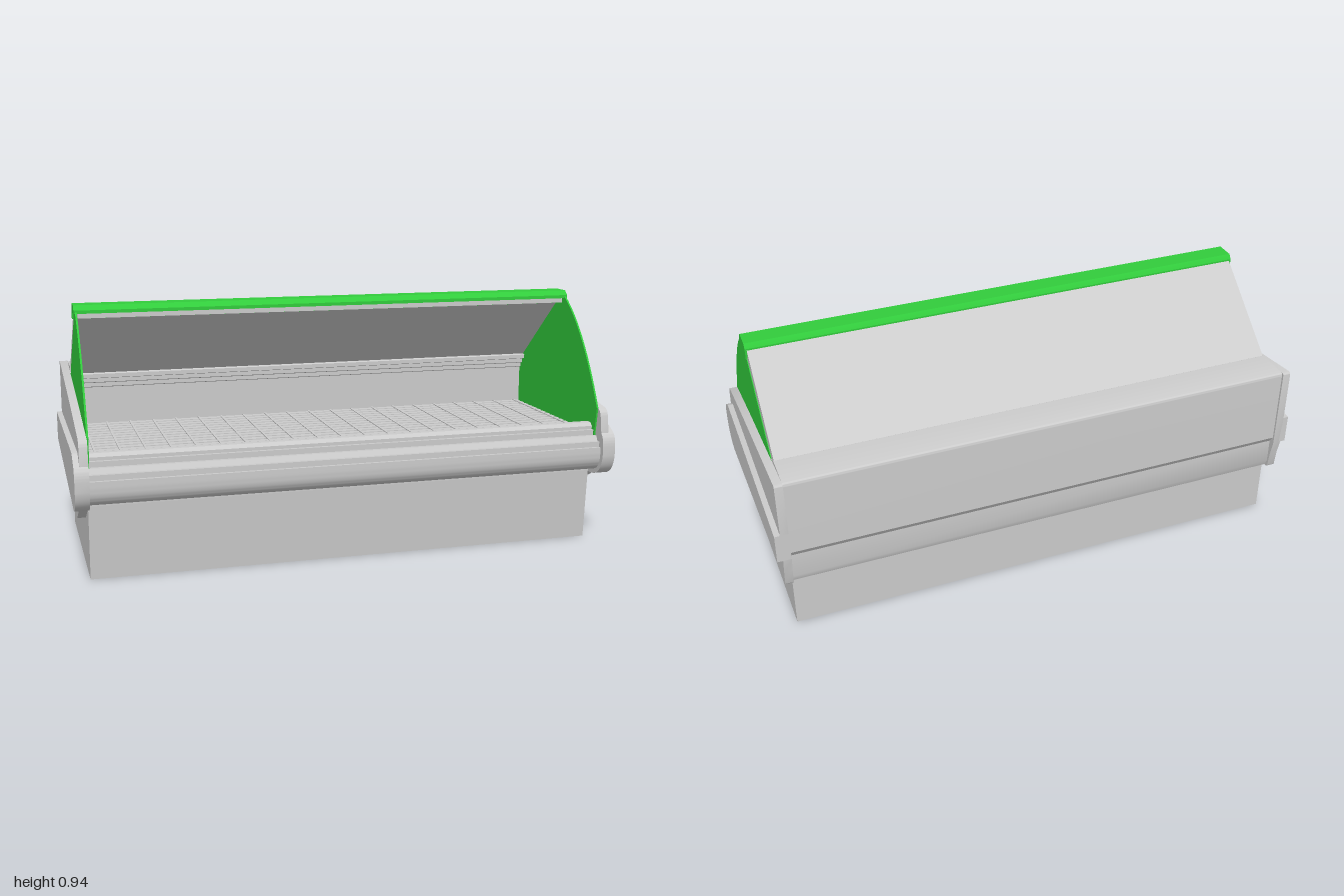
import * as THREE from 'three';
import { toCreasedNormals } from 'three/addons/utils/BufferGeometryUtils.js';

const grey = new THREE.MeshStandardMaterial({ color: 0xcccccc });
const green = new THREE.MeshStandardMaterial({ color: 0x32cc3c });

// Side outline from [z, y] points; a four-number entry is a curve [ctrlZ, ctrlY, z, y].
function outline(points) {
  const shape = new THREE.Shape();
  points.forEach((p, i) => {
    if (i === 0) shape.moveTo(p[0], p[1]);
    else if (p.length === 4) shape.quadraticCurveTo(...p);
    else shape.lineTo(p[0], p[1]);
  });
  return shape;
}

// Extrudes a side outline along x, from x0 to x1.
function slab(name, points, x0, x1, material = grey) {
  let geo = new THREE.ExtrudeGeometry(outline(points), {
    depth: x1 - x0, bevelEnabled: false, curveSegments: 14,
  });
  geo.rotateY(-Math.PI / 2);
  geo.translate(x1, 0, 0);
  geo = toCreasedNormals(geo, 0.45);
  const mesh = new THREE.Mesh(geo, material);
  mesh.name = name;
  return mesh;
}

function box(name, w, h, d, x, y, z) {
  const mesh = new THREE.Mesh(new THREE.BoxGeometry(w, h, d), grey);
  mesh.position.set(x, y, z);
  mesh.name = name;
  return mesh;
}

export function createModel() {
  const model = new THREE.Group();
  model.name = 'displayCounter';
  const W = 0.95;

  // Plinth with a leaning front
  model.add(slab('plinth', [[0.325, 0], [0.347, 0.3], [-0.4, 0.3], [-0.4, 0]], -W, W));

  // Open tub: stepped back, rear ledge, inner back wall and deck floor
  model.add(slab('tub', [
    [0.345, 0.27], [0.345, 0.43], [0.33, 0.43], [0.33, 0.405], [-0.3, 0.405],
    [-0.3, 0.57], [-0.285, 0.575], [-0.285, 0.59], [-0.27, 0.595], [-0.27, 0.61],
    [-0.25, 0.615], [-0.25, 0.63], [-0.27, 0.635], [-0.31, 0.655],
    [-0.435, 0.655], [-0.447, 0.655, -0.447, 0.64], [-0.447, 0.36],
    [-0.43, 0.335], [-0.43, 0.24], [-0.42, 0.215], [-0.39, 0.21], [-0.39, 0.27],
  ], -W, W));

  // Rounded front bumper with stepped lip
  model.add(slab('frontBumper', [
    [0.335, 0.285], [0.335, 0.462], [0.36, 0.462], [0.372, 0.45], [0.372, 0.438],
    [0.385, 0.438], [0.385, 0.418], [0.4, 0.418], [0.41, 0.4], [0.425, 0.4],
    [0.425, 0.38], [0.437, 0.38], [0.437, 0.36], [0.437, 0.287, 0.37, 0.285],
  ], -W, W));

  // Deck grating
  const grate = new THREE.Group();
  grate.name = 'deckGrate';
  for (let i = 0; i < 15; i++) {
    grate.add(box('grateSlat', 1.86, 0.012, 0.028, 0, 0.426, 0.315 - i * 0.041));
  }
  for (let i = 0; i < 21; i++) {
    const x = -0.91 + i * 0.091;
    grate.add(box('grateCrossbar', 0.074, 0.01, 0.61, x + (i < 20 ? 0.0455 : -0.0455), 0.424, 0.028));
    grate.add(box('grateRib', 0.008, 0.012, 0.61, x, 0.429, 0.028));
  }
  model.add(grate);

  // Sloping rear panel and lamp strip
  model.add(slab('rearSlope', [
    [0.005, 0.918], [0.03, 0.885], [-0.27, 0.628], [-0.315, 0.65],
  ], -0.948, 0.948));
  model.add(box('lampStrip', 1.88, 0.02, 0.06, 0, 0.9, 0.06));

  // Canopy cap along the top
  model.add(slab('canopy', [
    [0.102, 0.908], [0.102, 0.92], [0.083, 0.937], [0.012, 0.937], [0.006, 0.93],
    [0, 0.92], [0, 0.882], [0.027, 0.882], [0.03, 0.905],
  ], -0.955, 0.955, green));

  // Both ends: curved screen, end panel and raised side guard
  for (const [side, s] of [['left', 1], ['right', -1]]) {
    const add = (name, points, a, b, material) =>
      model.add(slab(side + name, points, Math.min(s * a, s * b), Math.max(s * a, s * b), material));

    add('EndScreen', [
      [-0.295, 0.41], [0.39, 0.41], [0.405, 0.525], [0.2675, 0.81, 0.1, 0.915],
      [0.03, 0.915], [0.03, 0.884], [-0.275, 0.626], [-0.295, 0.61],
    ], 0.944, 0.9505, green);

    add('EndPanel', [
      [-0.445, 0.656], [0.1, 0.577], [0.4, 0.526], [0.422, 0.52, 0.427, 0.495],
      [0.437, 0.435], [0.437, 0.34], [0.345, 0.265], [0.235, 0.205],
      [0.205, 0.187, 0.17, 0.188], [-0.42, 0.212], [-0.436, 0.213, -0.437, 0.225],
      [-0.443, 0.28], [-0.455, 0.335], [-0.455, 0.645], [-0.455, 0.656, -0.445, 0.656],
    ], 0.95, 0.98);

    add('SideGuard', [
      [-0.455, 0.45], [0.36, 0.47], [0.378, 0.47, 0.39, 0.462], [0.43, 0.44],
      [0.456, 0.425, 0.456, 0.385], [0.456, 0.35], [0.445, 0.265, 0.355, 0.266],
      [-0.455, 0.34],
    ], 0.95, 1);
  }
  return model;
}
